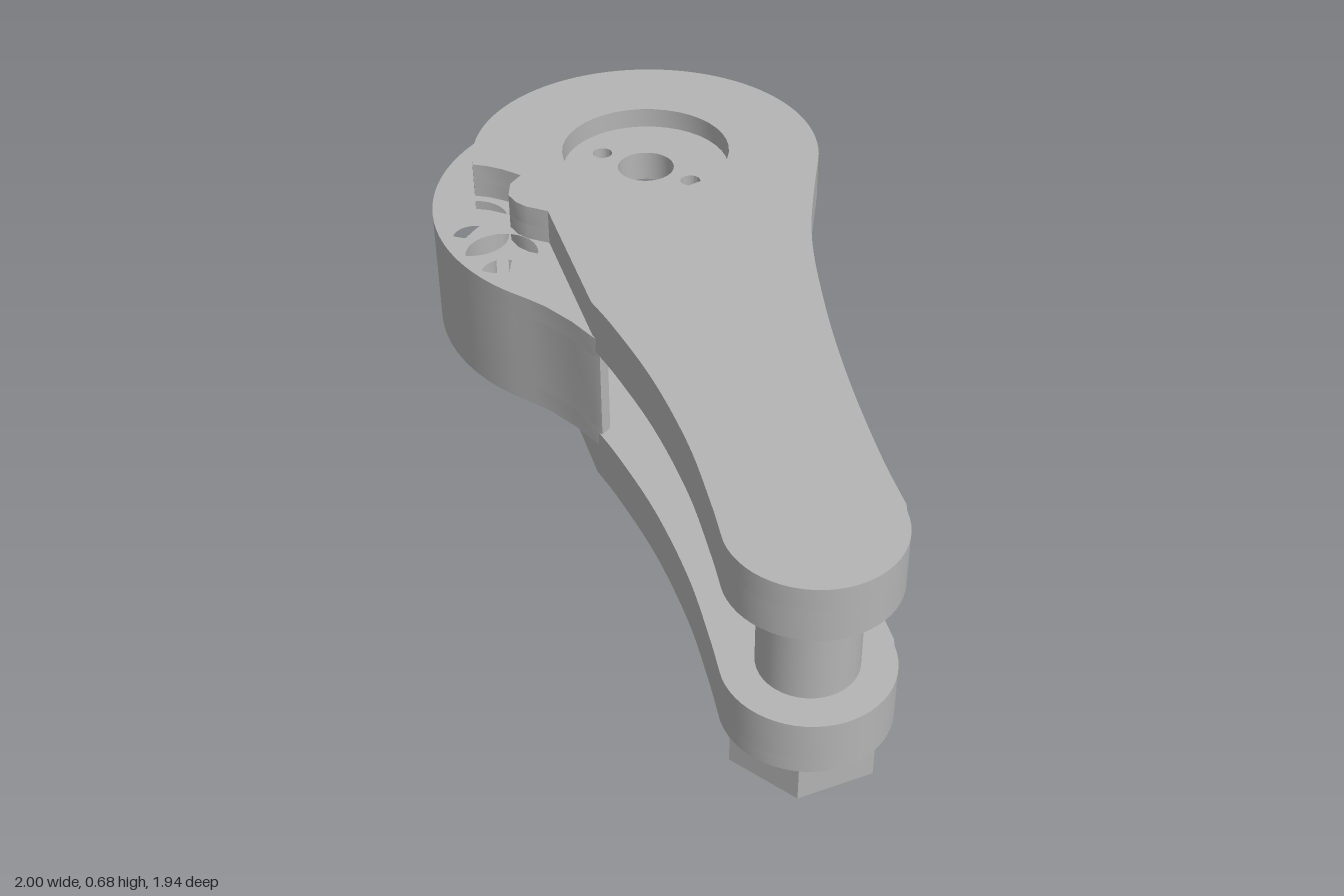
import * as THREE from 'three';
import { toCreasedNormals } from 'three/addons/utils/BufferGeometryUtils.js';

const HEAD = [-0.43, -0.46];
const TIP = [0.787, 0.755];

// Points along an arc in plan (x, z)
function arc([cx, cz], r, a0, a1, n) {
  return Array.from({ length: n + 1 }, (_, i) => {
    const a = a0 + ((a1 - a0) * i) / n;
    return [cx + r * Math.cos(a), cz + r * Math.sin(a)];
  });
}

// Smooth curve through plan points
function smooth(points, n) {
  const curve = new THREE.SplineCurve(points.map(([x, z]) => new THREE.Vector2(x, z)));
  return curve.getPoints(n).map((p) => [p.x, p.y]);
}

const circle = (c, r) => arc(c, r, 0, Math.PI * 2, 40).slice(0, -1);
const toVectors = (points) => points.map(([x, z]) => new THREE.Vector2(x, -z));

// Upright prism from a plan outline with holes, between two heights
function prism(outline, holes, y0, y1) {
  const shape = new THREE.Shape(toVectors(outline));
  for (const h of holes) shape.holes.push(new THREE.Path(toVectors(h)));
  const geo = new THREE.ExtrudeGeometry(shape, { depth: y1 - y0, bevelEnabled: false });
  geo.rotateX(-Math.PI / 2).translate(0, y0, 0);
  return toCreasedNormals(geo, 0.45);
}

export function createModel() {
  const model = new THREE.Group();
  model.name = 'leverArm';
  const grey = new THREE.MeshStandardMaterial({ color: 0xb4b4b4 });
  grey.name = 'plain grey';

  function add(name, geometry, parent = model) {
    const mesh = new THREE.Mesh(geometry, grey);
    mesh.name = name;
    parent.add(mesh);
    return mesh;
  }
  function addCylinder(name, [x, z], r, y0, y1, sides = 40) {
    const geo = new THREE.CylinderGeometry(r, r, y1 - y0, sides);
    return add(name, geo.translate(x, (y0 + y1) / 2, z));
  }

  // Shared plate outline: notch, lower edge, rounded tip, upper edge, round head
  const plate = [
    [-0.77, -0.135], [-0.72, -0.143], [-0.655, -0.143], [-0.653, -0.09],
    [-0.62, -0.035], [-0.58, -0.015], [-0.54, -0.01], [-0.475, -0.022],
    ...smooth([[-0.12, 0.29], [0, 0.36], [0.2, 0.495], [0.4, 0.66], [0.55, 0.81], [0.633, 0.9]], 30),
    ...arc(TIP, 0.212, 2.3, -0.75, 28),
    ...smooth([[0.93, 0.59], [0.8, 0.46], [0.6, 0.235], [0.4, -0.02], [0.2, -0.32], [0.02, -0.7]], 30),
    ...arc(HEAD, 0.51, -0.52, -3.87, 60),
  ];

  // Upper plate with round recess, centre hole and two pin holes
  const upper = new THREE.Group();
  upper.name = 'upperPlate';
  model.add(upper);
  const pinHoles = [-0.155, 0.155].map((d) => circle([HEAD[0] + d, HEAD[1]], 0.029));
  add('upperPlateBase', prism(plate, [circle(HEAD, 0.083), ...pinHoles], 0.53, 0.62), upper);
  add('upperPlateRim', prism(plate, [circle(HEAD, 0.246)], 0.62, 0.68), upper);

  // Lower plate with two slots underneath, each holding a pair of studs
  const lower = new THREE.Group();
  lower.name = 'lowerPlate';
  model.add(lower);
  const along = [-0.77, 0.638];
  const across = [0.638, 0.77];
  const offset = ([x, z], a, b) => [
    x + along[0] * a + across[0] * b,
    z + along[1] * a + across[1] * b,
  ];
  const slotCentres = [[-0.66, -0.66], [0.05, 0.09]];
  const slots = slotCentres.map((c) =>
    [[-1, -1], [1, -1], [1, 1], [-1, 1]].map(([a, b]) => offset(c, a * 0.17, b * 0.077)));
  add('lowerPlateFace', prism(plate, slots, 0.11, 0.15), lower);
  add('lowerPlateBase', prism(plate, [], 0.15, 0.26), lower);
  for (const c of slotCentres) {
    for (const side of [-1, 1]) {
      addCylinder('slotStud', offset(c, side * 0.09, 0), 0.043, 0.115, 0.16, 24);
    }
  }

  // Curved guard block between the plates, with two counterbored holes
  const block = [
    [-0.115, 0.297], [-0.2, 0.268], [-0.3, 0.246], [-0.36, 0.241],
    ...arc([-0.39, -0.37], 0.61, 1.62, 3.887, 60),
    ...arc(HEAD, 0.424, 3.89, 2.467, 24),
    [-0.7, -0.2], [-0.64, -0.19], [-0.57, -0.155], [-0.5, -0.1], [-0.46, -0.05],
    [-0.42, -0.02], [-0.09, 0.265], [-0.092, 0.3],
  ];
  const bolts = [[-0.738, -0.01], [-0.558, 0.092]];
  const guard = new THREE.Group();
  guard.name = 'guardBlock';
  model.add(guard);
  const bores = bolts.map((c) => circle(c, 0.102));
  const drills = bolts.map((c) => circle(c, 0.06));
  add('guardBottom', prism(block, bores, 0.22, 0.28), guard);
  add('guardMiddle', prism(block, drills, 0.28, 0.515), guard);
  add('guardTop', prism(block, bores, 0.515, 0.575), guard);

  // Stop peg standing on the lower plate
  addCylinder('stopPeg', [-0.6, -0.61], 0.055, 0.26, 0.4, 28);

  // Spacer post and hexagonal bolt head at the tip
  addCylinder('spacerPost', TIP, 0.125, 0.26, 0.53);
  const hexagon = arc(TIP, 0.198, 0.1, 0.1 + Math.PI * 2, 6).slice(0, -1);
  add('hexBoltHead', prism(hexagon, [], 0, 0.11));

  return model;
}
